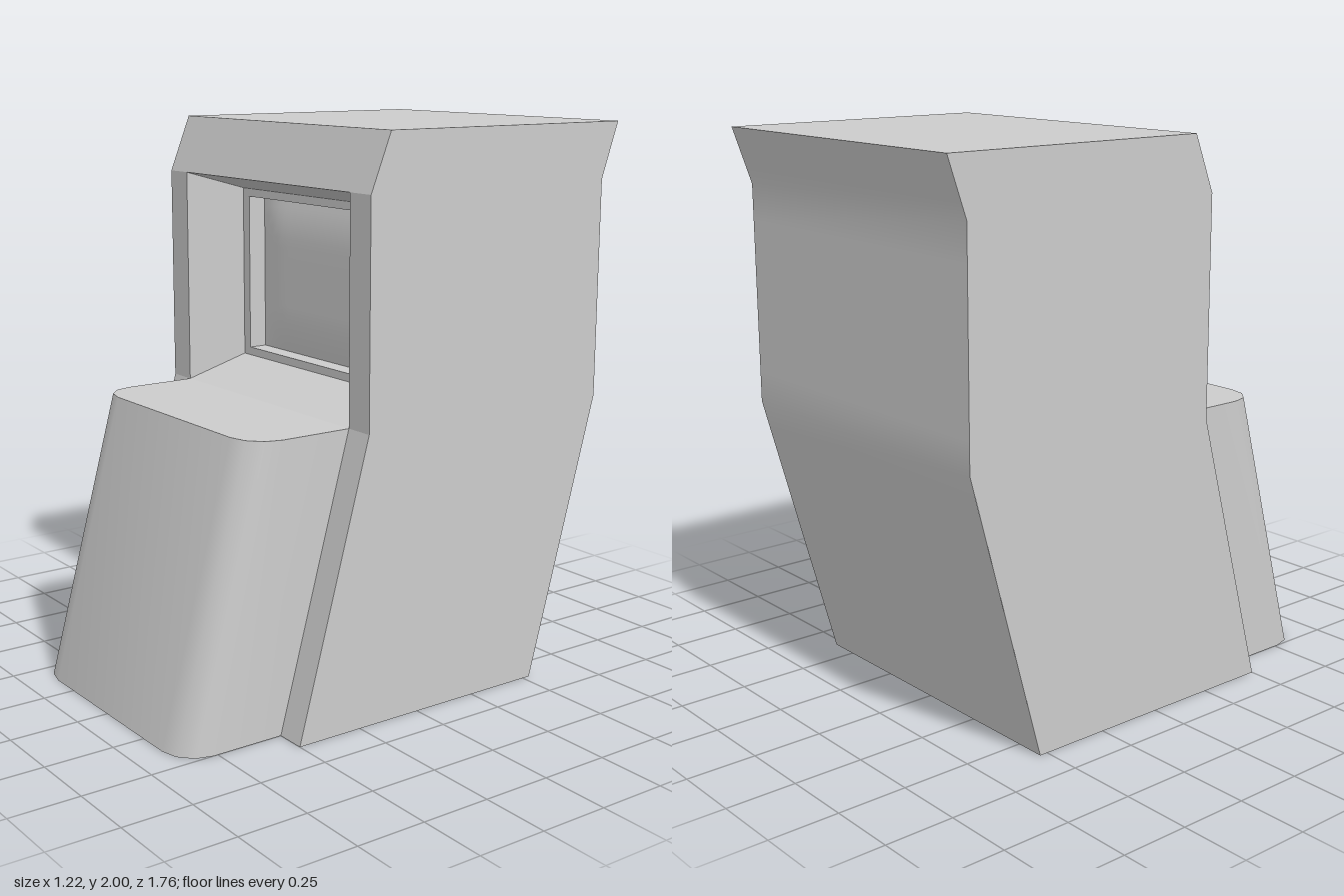
import * as THREE from 'three';
import { toCreasedNormals } from 'three/addons/utils/BufferGeometryUtils.js';

const grey = new THREE.MeshStandardMaterial({ color: 0xcccccc });
const HALF = 0.61, INNER = 0.5, DECK = 1.02, SLANT = 0.28;

// Surface swept across x along a [z, y] path; its front lies to the path's outer side
function strip(path, x0, x1, smooth = false) {
  const pos = [];
  for (let i = 0; i + 1 < path.length; i++) {
    const [pz, py] = path[i], [qz, qy] = path[i + 1];
    const a = [x0, py, pz], b = [x1, py, pz], c = [x1, qy, qz], d = [x0, qy, qz];
    pos.push(...a, ...b, ...c, ...a, ...c, ...d);
  }
  const g = new THREE.BufferGeometry();
  g.setAttribute('position', new THREE.Float32BufferAttribute(pos, 3));
  g.computeVertexNormals();
  return smooth ? toCreasedNormals(g, 0.6) : g;
}

// Flat [z, y] outline placed at x, facing +x (dir 1) or -x (dir -1)
function sideFace(outline, x, dir) {
  const shape = new THREE.Shape(outline.map(([z, y]) => new THREE.Vector2(-dir * z, y)));
  return new THREE.ShapeGeometry(shape).rotateY(dir * Math.PI / 2).translate(x, 0, 0);
}

function rectPath(Type, w, y0, y1) {
  return new Type([[-w, y0], [w, y0], [w, y1], [-w, y1]].map(([x, y]) => new THREE.Vector2(x, y)));
}

export function createModel() {
  const group = new THREE.Group();
  const add = (name, geometry) => {
    const mesh = new THREE.Mesh(geometry, grey);
    mesh.name = name;
    group.add(mesh);
  };

  // Cabinet shell
  const front = [[0.5, 0], [0.22, DECK], [0.22, 1.8]];
  const top = [[0.14, 2], [-0.88, 2]];
  const back = [[-0.81, 1.8], [-0.81, DECK], [-0.53, 0]];
  const outline = [...front, ...top, ...back];
  add('topAndBrow', strip([front[2], ...top], -HALF, HALF));
  // Extra loops beside each bend keep the soft shading local
  add('backPanel', strip([top[1], [-0.8275, 1.85], back[0], [-0.81, 1.67], [-0.81, 1.13], back[1],
    [-0.78, 0.91], back[2]], -HALF, HALF, true));
  add('base', strip([back[2], front[0]], -HALF, HALF));

  // Recess for the display
  const rz = -0.03, y0 = 1.09, y1 = 1.73;
  const cheek = [front[1], front[2], [rz, y1], [rz, y0]];
  add('recessFloor', strip([front[1], [rz, y0]], -INNER, INNER));
  add('recessCeiling', strip([[rz, y1], front[2]], -INNER, INNER));
  for (const s of [1, -1]) {
    const side = s > 0 ? 'left' : 'right';
    add(side + 'Side', sideFace(outline, s * HALF, s));
    add(side + 'Pillar', strip(front, s > 0 ? INNER : -HALF, s > 0 ? HALF : -INNER));
    add(side + 'RecessWall', sideFace(cheek, s * INNER, -s));
  }

  // Display surround
  const frame = rectPath(THREE.Shape, INNER, y0, y1);
  frame.holes.push(rectPath(THREE.Path, 0.46, 1.12, 1.70));
  add('displayFrame', new THREE.ExtrudeGeometry(frame, { depth: 0.07, bevelEnabled: false })
    .translate(0, 0, rz - 0.07));

  // Gently bulging screen
  const screen = new THREE.PlaneGeometry(0.92, 0.58, 24, 16);
  const p = screen.attributes.position;
  const rise = (d) => 1 - Math.pow(1 - Math.min(d / 0.16, 1), 2);
  for (let i = 0; i < p.count; i++) {
    const dx = 0.46 - Math.abs(p.getX(i)), dy = 0.29 - Math.abs(p.getY(i));
    p.setZ(i, 0.025 * rise(dx) * rise(dy));
  }
  screen.computeVertexNormals();
  add('screen', screen.translate(0, 1.41, rz - 0.07));

  // Slanted control housing with rounded front corners
  const plan = [[INNER, 0.22]];
  const corner = (s, k) => {
    const a = (k / 3) * Math.PI / 2;
    plan.push([s * (0.37 + 0.13 * Math.cos(a)), 0.487 + 0.118 * Math.sin(a)]);
  };
  for (let k = 0; k <= 3; k++) corner(1, k);
  for (let k = 3; k >= 0; k--) corner(-1, k);
  plan.push([-INNER, 0.22]);
  const shape = new THREE.Shape(plan.map(([x, z]) => new THREE.Vector2(x, -z)));
  const housing = new THREE.ExtrudeGeometry(shape, { depth: DECK, bevelEnabled: false })
    .rotateX(-Math.PI / 2);
  const h = housing.attributes.position;
  for (let i = 0; i < h.count; i++) h.setZ(i, h.getZ(i) + SLANT * (1 - h.getY(i) / DECK));
  add('controlHousing', toCreasedNormals(housing, 0.7));

  return group;
}
